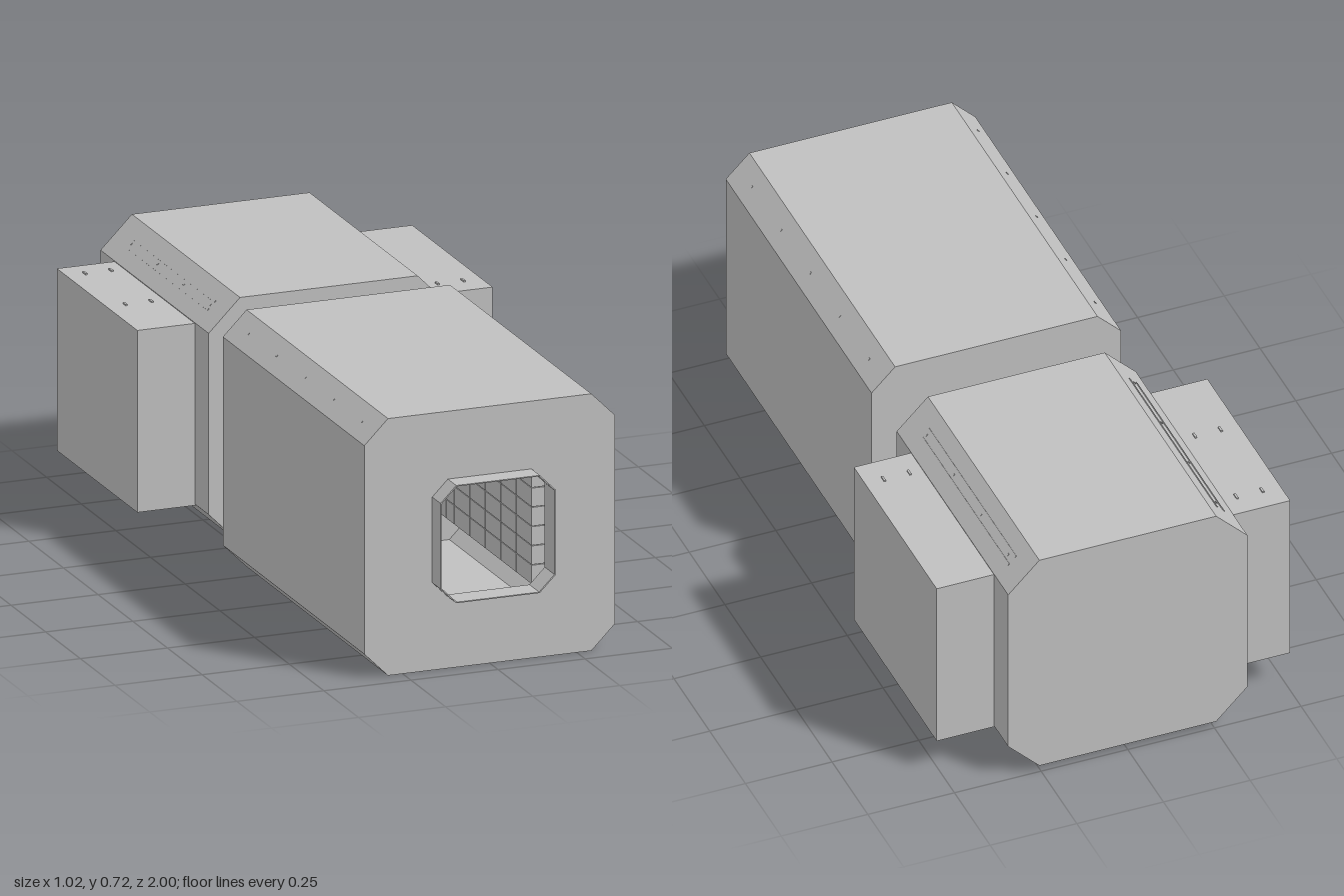
import * as THREE from 'three';

const metal = new THREE.MeshStandardMaterial({ color: 0xc0c0c0 });
metal.name = 'sheetMetalGrey';

// Rectangle with cut corners, as a counter-clockwise point list
function octagon(halfW, y0, y1, cut) {
  return [
    [-halfW + cut, y0], [halfW - cut, y0], [halfW, y0 + cut], [halfW, y1 - cut],
    [halfW - cut, y1], [-halfW + cut, y1], [-halfW, y1 - cut], [-halfW, y0 + cut],
  ].map(([x, y]) => new THREE.Vector2(x, y));
}

// Extrudes an outline, with an optional hole, from z0 to z1
function prism(name, outer, hole, z0, z1) {
  const shape = new THREE.Shape(outer);
  if (hole) shape.holes.push(new THREE.Path(hole));
  const geo = new THREE.ExtrudeGeometry(shape, { depth: z1 - z0, bevelEnabled: false });
  geo.translate(0, 0, z0);
  const mesh = new THREE.Mesh(geo, metal);
  mesh.name = name;
  return mesh;
}

function box(name, w, h, d, x, y, z) {
  const mesh = new THREE.Mesh(new THREE.BoxGeometry(w, h, d), metal);
  mesh.name = name;
  mesh.position.set(x, y, z);
  return mesh;
}

export function createModel() {
  const model = new THREE.Group();
  model.name = 'ductUnit';

  const duct = octagon(0.165, 0.2, 0.53, 0.045);
  const ductInner = octagon(0.162, 0.203, 0.527, 0.044);

  // Hollow front housing: shell and two end plates open to the duct
  const front = new THREE.Group();
  front.name = 'frontHousing';
  const frontOuter = octagon(0.36, 0, 0.72, 0.068);
  front.add(
    prism('frontShell', frontOuter, octagon(0.35, 0.01, 0.71, 0.064), -0.07, 0.93),
    prism('frontPlate', frontOuter, ductInner, 0.93, 0.94),
    prism('innerPlate', frontOuter, ductInner, -0.08, -0.07),
  );
  model.add(front);

  // Hollow rear housing, closed at the back
  const rear = new THREE.Group();
  rear.name = 'rearHousing';
  const rearOuter = octagon(0.345, 0.02, 0.708, 0.09);
  rear.add(
    prism('rearShell', rearOuter, octagon(0.335, 0.03, 0.698, 0.086), -0.99, -0.23),
    prism('rearInnerPlate', rearOuter, ductInner, -0.23, -0.22),
    prism('backPlate', rearOuter, null, -1, -0.99),
    box('innerLatch', 0.06, 0.01, 0.01, 0, 0.286, -0.985),
  );
  model.add(rear);

  // Duct mouth, neck and coupling flange
  model.add(
    prism('ductMouth', duct, ductInner, 0.93, 1),
    prism('ductNeck', duct, ductInner, -0.225, -0.075),
    prism('couplingFlange', octagon(0.182, 0.182, 0.548, 0.05), ductInner, -0.153, -0.138),
  );

  for (const side of [-1, 1]) {
    // Side cabinet
    model.add(box('sideCabinet', 0.168, 0.51, 0.58, side * 0.426, 0.361, -0.61));

    // Seam strips along the sloped rear edges
    for (const x of [0.29, 0.31]) {
      const strip = box('seamStrip', 0.006, 0.003, 0.61, side * x, 0.963 - x, -0.615);
      strip.rotation.z = -side * Math.PI / 4;
      model.add(strip);
    }

    // Rivets on the sloped edges of both housings
    const rivet = (x, y, z) => {
      const r = box('rivet', 0.006, 0.003, 0.006, side * x, y, z);
      r.rotation.z = -side * Math.PI / 4;
      model.add(r);
    };
    for (let i = 0; i < 5; i++) rivet(0.326, 0.686, 0.84 - i * 0.205);
    for (let i = 0; i < 4; i++) rivet(0.3, 0.663, -0.32 - i * 0.19);

    // Bolts on the cabinet tops
    for (const z of side < 0 ? [-0.83, -0.54] : [-0.4])
      for (const x of [0.383, 0.457])
        model.add(box('cabinetBolt', 0.006, 0.006, 0.02, side * x, 0.617, z));

    // Filter rack inside the front housing, a grid of cells
    const rack = new THREE.Group();
    rack.name = 'filterRack';
    for (let row = 0; row < 9; row++)
      for (let col = 0; col < 12; col++)
        rack.add(box('filterCell', 0.11, 0.052, 0.054,
          side * 0.275, 0.147 + row * 0.054, 0.663 - col * 0.056));
    model.add(rack);
  }

  return model;
}
